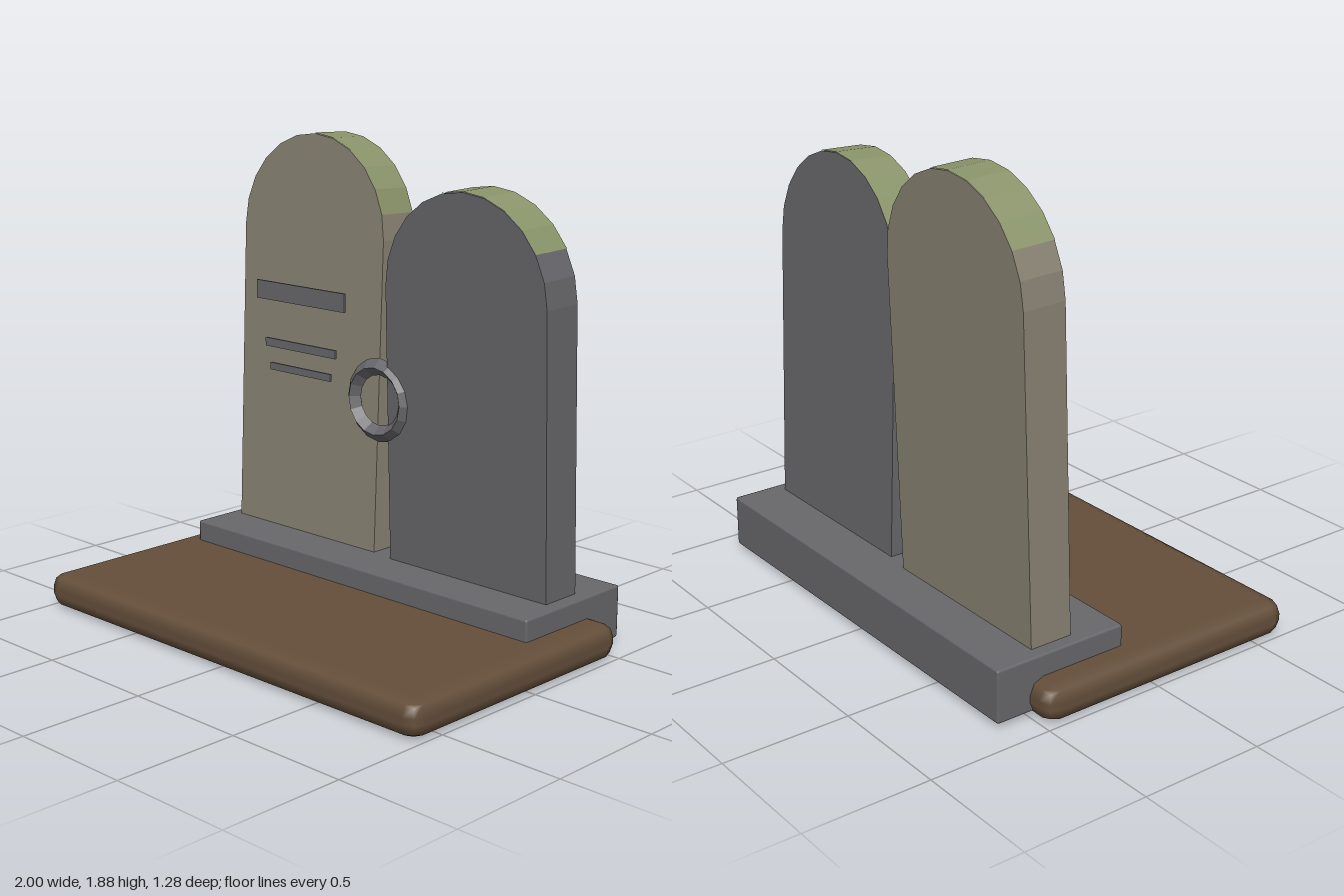
import * as THREE from 'three';
import { RoundedBoxGeometry } from 'three/addons/geometries/RoundedBoxGeometry.js';

const material = (name, color) => {
  const m = new THREE.MeshStandardMaterial({ color });
  m.name = name;
  return m;
};

// Bakes one normal per face
const faceted = (geometry) => {
  const g = geometry.index ? geometry.toNonIndexed() : geometry;
  g.computeVertexNormals();
  return g;
};

export function createModel() {
  const model = new THREE.Group();
  const slate = material('slate grey', 0x68676b);
  const sandstone = material('weathered stone', 0x8a8474);
  const moss = material('moss green', 0x8a946a);
  const earth = material('earth brown', 0x654f3b);

  const add = (name, geometry, mat, x, y, z, parent = model) => {
    const mesh = new THREE.Mesh(geometry, mat);
    mesh.name = name;
    mesh.position.set(x, y, z);
    parent.add(mesh);
    return mesh;
  };

  // Ground slab and plinth
  add('groundSlab', new RoundedBoxGeometry(2, 0.145, 1.14, 1, 0.06), earth, 0, 0.0725, 0.07);
  add('plinth', new RoundedBoxGeometry(1.78, 0.21, 0.56, 1, 0.01), slate, 0, 0.125, -0.36);

  // Arched headstones, leaning from their feet, each with a moss cap
  const R = 0.392, depth = 0.176, sunk = 0.03;
  const headstone = (name, mat, x, z, straight, lean, mossStart) => {
    const stone = new THREE.Group();
    stone.name = name;
    stone.position.set(x, 0.23, z);
    stone.rotation.x = lean;
    model.add(stone);

    const shape = new THREE.Shape();
    shape.moveTo(-R, -sunk);
    shape.lineTo(R, -sunk);
    shape.absarc(0, straight, R, 0, Math.PI, false);
    shape.closePath();
    const body = new THREE.ExtrudeGeometry(shape, { depth, bevelEnabled: false, curveSegments: 6 });
    add(name + 'Body', body, mat, 0, 0, -depth / 2, stone);

    const cap = new THREE.CylinderGeometry(R + 0.003, R + 0.003, depth, 9, 1, true,
      THREE.MathUtils.degToRad(mossStart + 90), THREE.MathUtils.degToRad(135));
    cap.rotateX(Math.PI / 2);
    add(name + 'Moss', faceted(cap), moss, 0, straight, 0, stone);
  };
  headstone('tallHeadstone', sandstone, -0.447, -0.367, 1.252, -0.036, 15);
  headstone('shortHeadstone', slate, 0.442, -0.35, 1.108, 0.034, 30);

  // Inscription bars: centre y, width, height
  [[1.23, 0.5, 0.076], [1.015, 0.4, 0.035], [0.916, 0.345, 0.03]].forEach(([y, w, h], i) =>
    add('inscriptionBar' + (i + 1), new THREE.BoxGeometry(w, h, 0.009), slate, -0.448, y, -0.255));

  // Faceted ring joining the stones
  add('ring', faceted(new THREE.TorusGeometry(0.135, 0.034, 4, 16)), slate, -0.003, 0.87, -0.251);

  return model;
}
